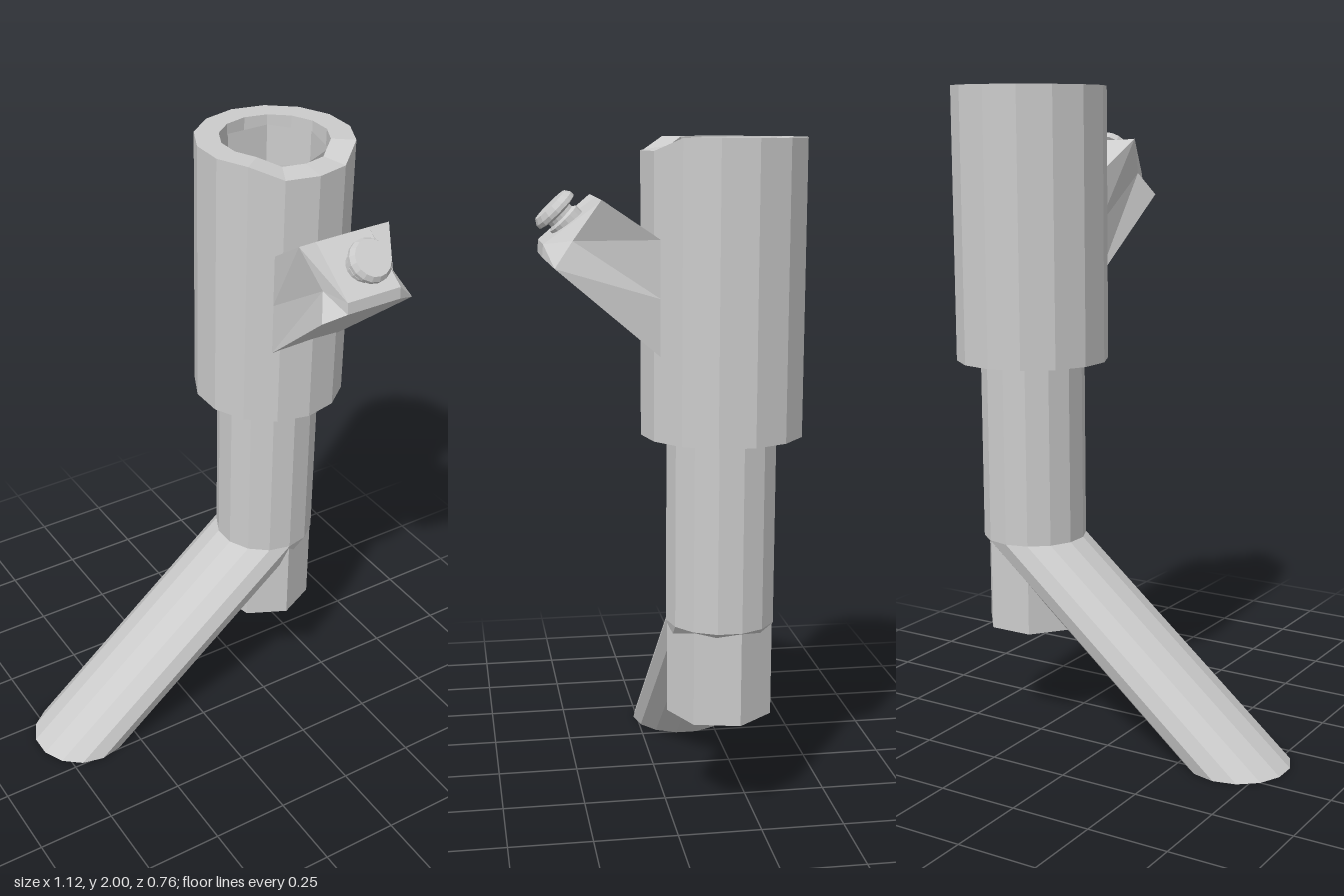
import * as THREE from 'three';

const CX = 0.33, CZ = -0.15, SIDES = 14;

export function createModel() {
  const model = new THREE.Group();
  const grey = new THREE.MeshStandardMaterial({ color: 0xcccccc, flatShading: true });
  const thin = grey.clone();
  thin.side = THREE.DoubleSide;

  const add = (name, geometry, material = grey) => {
    const mesh = new THREE.Mesh(geometry, material);
    mesh.name = name;
    model.add(mesh);
    return mesh;
  };
  const lathe = (points, sides) =>
    new THREE.LatheGeometry(points.map(([r, y]) => new THREE.Vector2(r, y)), sides);
  // open vertical tube between two heights
  const tube = (radius, y0, y1, sides) =>
    new THREE.CylinderGeometry(radius, radius, y1 - y0, sides, 1, true).translate(CX, (y0 + y1) / 2, CZ);

  // Thick outer sleeve, its rim dipping at the front
  const sleeve = lathe([[0.162, 1.17], [0.235, 1.17], [0.235, 2], [0.162, 2], [0.162, 1.17]], SIDES);
  sleeve.translate(CX, 0, CZ);
  const p = sleeve.attributes.position;
  for (let i = 0; i < p.count; i++) {
    if (p.getY(i) < 1.9) continue;
    const inner = Math.hypot(p.getX(i) - CX, p.getZ(i) - CZ) < 0.2;
    if (p.getZ(i) > (inner ? -0.03 : 0.03)) p.setY(i, inner ? 1.975 : 1.965);
  }
  add('sleeve', sleeve);

  // Straight pipe and the seven-sided bore that pokes out below it
  add('pipe', tube(0.161, 0.61, 1.93, SIDES), thin);
  add('bore', tube(0.158, 0.325, 1.97, 7), thin);

  // Slanted outlet: an upright cylinder sheared sideways, with a closed foot
  const shear = (g) => {
    const a = g.attributes.position;
    for (let i = 0; i < a.count; i++) a.setX(i, a.getX(i) - 0.73 * (1 - a.getY(i) / 0.61));
    g.computeVertexNormals();
    return g;
  };
  add('outletPipe', shear(tube(0.161, 0, 0.61, SIDES)), thin);
  const foot = new THREE.CircleGeometry(0.161, SIDES, Math.PI / 2).rotateX(Math.PI / 2);
  add('outletFoot', foot.translate(CX - 0.73, 0, CZ), thin);

  // Side arm: three rows (top, waist, bottom) of four points at each end
  const row = (outer, mid) => {
    const at = (x, [, y, z]) => [CX + x, y, z];
    return [at(-outer[0], outer), at(-mid[0], mid), at(mid[0], mid), at(outer[0], outer)];
  };
  const face = [
    ...row([0.153, 1.84, 0.21], [0.09, 1.835, 0.2]),
    ...row([0.12, 1.73, 0.285], [0.09, 1.72, 0.362]),
    ...row([0.155, 1.66, 0.337], [0.09, 1.685, 0.365]),
  ];
  const root = [1.73, 1.57, 1.41].flatMap((y) => row([0.12, y, 0.045], [0.05, y, 0.045]));
  const index = [];
  const quad = (a, b, c, d) => index.push(a, b, c, a, c, d);
  for (let r = 0; r < 2; r++) {
    for (let c = 0; c < 3; c++) {
      const k = r * 4 + c;
      quad(k, k + 4, k + 5, k + 1);
      quad(k + 12, k + 13, k + 17, k + 16);
    }
  }
  // walls between the two ends
  const rim = [0, 4, 8, 9, 10, 11, 7, 3, 2, 1];
  rim.forEach((a, i) => {
    const b = rim[(i + 1) % rim.length];
    quad(a, a + 12, b + 12, b);
  });
  const arm = new THREE.BufferGeometry();
  arm.setAttribute('position', new THREE.Float32BufferAttribute([...face, ...root].flat(), 3));
  arm.setIndex(index);
  arm.computeVertexNormals();
  add('sideArm', arm, thin);

  // Knob on the arm's sloping face
  const knob = add('knob', lathe([
    [0.05, -0.04], [0.05, 0.025], [0.04, 0.032], [0.04, 0.042],
    [0.066, 0.05], [0.066, 0.062], [0.056, 0.077], [0, 0.077],
  ], 16));
  knob.position.set(CX + 0.007, 1.765, 0.282);
  knob.rotation.x = 0.77;

  return model;
}
